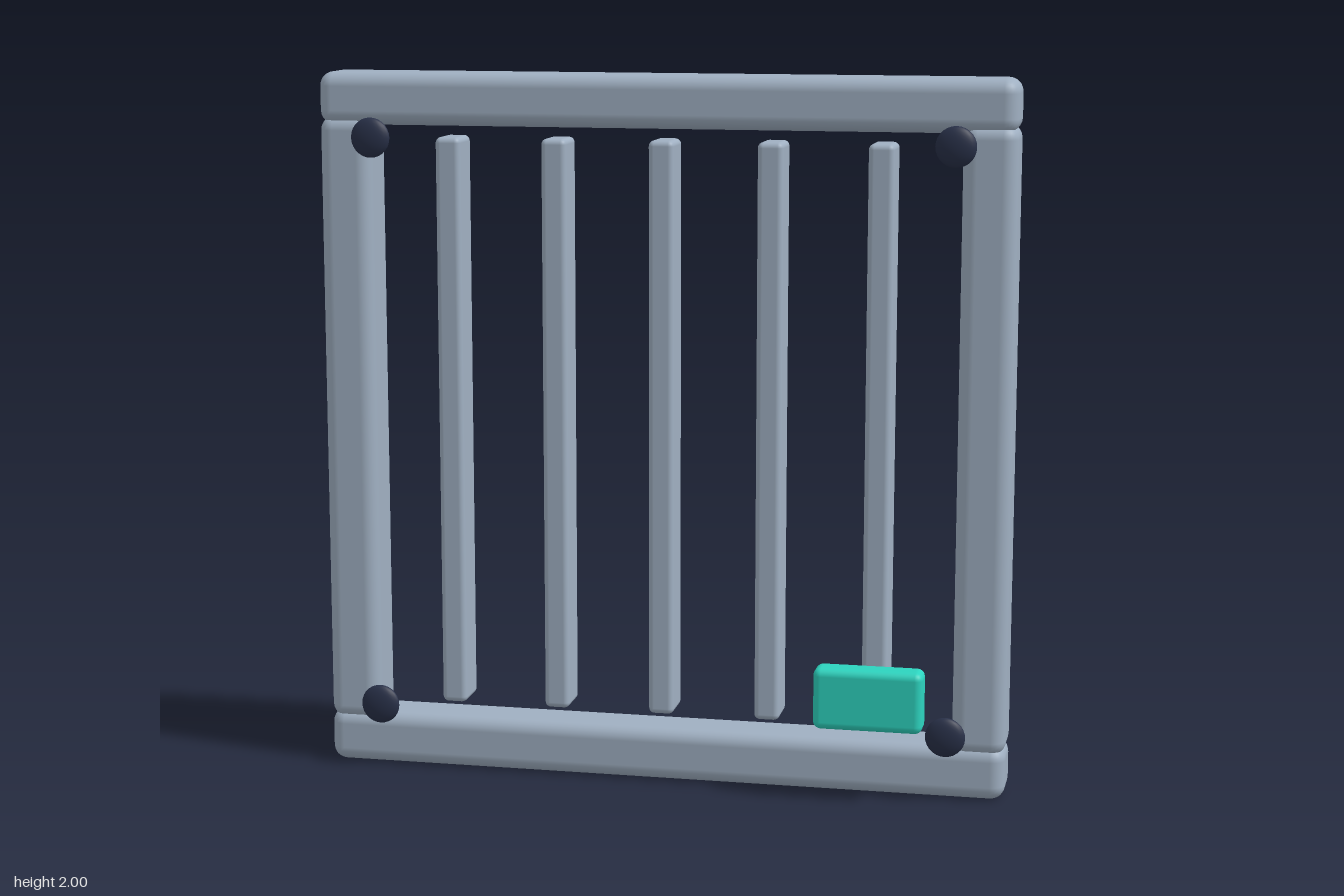
import * as THREE from 'three';
import { RoundedBoxGeometry } from 'three/addons/geometries/RoundedBoxGeometry.js';

export function createModel() {
  const group = new THREE.Group();
  const material = (name, color) => {
    const m = new THREE.MeshStandardMaterial({ color });
    m.name = name;
    return m;
  };
  const steel = material('steel', 0xa0b0c2);
  const dark = material('darkBolt', 0x283048);
  const teal = material('tealLatch', 0x2dd4bf);

  // Rounded block given by its lowest and highest corners
  const block = (name, mat, min, max, radius) => {
    const size = max.map((v, i) => v - min[i]);
    const mesh = new THREE.Mesh(new RoundedBoxGeometry(...size, 3, radius), mat);
    mesh.position.set(...max.map((v, i) => (v + min[i]) / 2));
    mesh.name = name;
    group.add(mesh);
  };

  const back = -0.135, front = 0.035;

  // Frame: two rails and two posts
  block('bottomRail', steel, [-0.98, 0, back], [0.98, 0.152, front], 0.04);
  block('topRail', steel, [-0.98, 1.852, back], [0.98, 2, front], 0.04);
  block('leftPost', steel, [0.83, 0.127, back], [0.98, 1.876, front], 0.04);
  block('rightPost', steel, [-0.98, 0.127, back], [-0.83, 1.876, front], 0.04);

  // Five free-standing bars
  for (let i = -2; i <= 2; i++) {
    const x = i * 0.305;
    block('bar', steel, [x - 0.036, 0.19, -0.11], [x + 0.036, 1.82, 0.012], 0.016);
  }

  // Flattened bolts near the corners
  const boltGeometry = new THREE.SphereGeometry(0.056, 20, 14);
  for (const x of [-0.817, 0.817]) {
    for (const y of [0.187, 1.82]) {
      const bolt = new THREE.Mesh(boltGeometry, dark);
      bolt.position.set(x, y, 0.061);
      bolt.scale.z = 0.4;
      bolt.name = 'bolt';
      group.add(bolt);
    }
  }

  // Latch block in front of the outer bar
  block('latch', teal, [0.455, 0.208, 0.05], [0.76, 0.382, 0.135], 0.022);

  return group;
}
